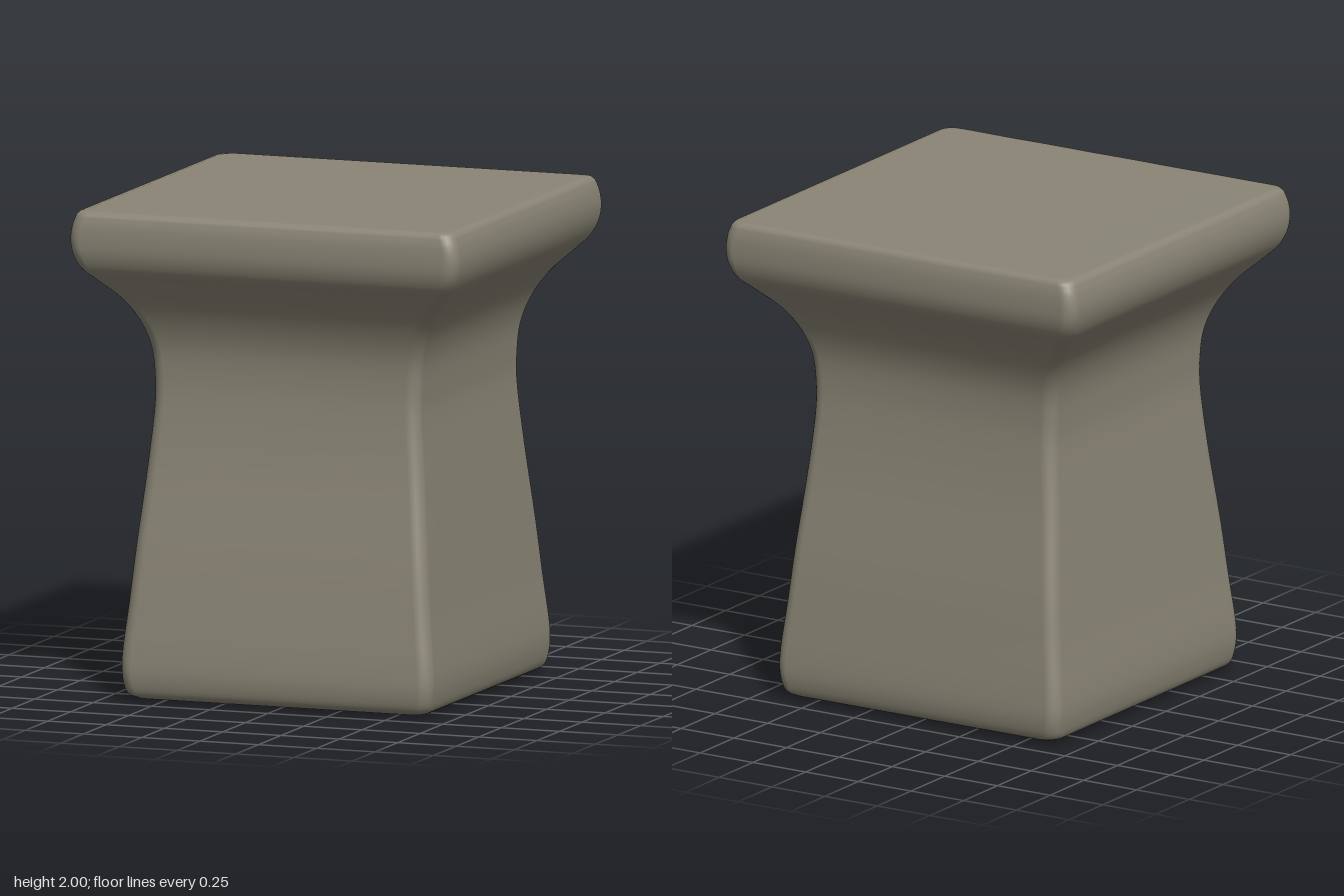
import * as THREE from 'three';

const stone = new THREE.MeshStandardMaterial({ color: 0x8a8575 });
stone.name = 'weathered stone';

// Profile from foot to top edge: [half width x, height, half depth z]
const profile = [
  [0.62, 0.01, 0.64], [0.65, 0.03, 0.67], [0.665, 0.09, 0.687], [0.668, 0.17, 0.688],
  [0.645, 0.4, 0.665], [0.625, 0.62, 0.64], [0.593, 0.95, 0.593], [0.571, 1.2, 0.571],
  [0.572, 1.3, 0.569], [0.582, 1.42, 0.58], [0.612, 1.52, 0.612], [0.67, 1.62, 0.668],
  [0.755, 1.71, 0.75], [0.8, 1.76, 0.798], [0.826, 1.82, 0.822], [0.834, 1.88, 0.828],
  [0.826, 1.94, 0.825], [0.812, 1.98, 0.816],
];

// Closed loop around a slightly bulging square with rounded corners
function ring(hx, y, hz, radius, out) {
  const steps = 6, sides = 4;
  for (let q = 0; q < 4; q++) {
    const a0 = q * Math.PI / 2;
    const sx = q === 0 || q === 3 ? 1 : -1, sz = q < 2 ? 1 : -1;
    for (let i = 0; i <= steps; i++) {
      const a = a0 + (i / steps) * Math.PI / 2;
      out.push([sx * (hx - radius) + Math.cos(a) * radius, y, sz * (hz - radius) + Math.sin(a) * radius]);
    }
    // Points along the flat side that follows this corner
    const last = out[out.length - 1];
    const alongX = q % 2 === 0;
    for (let i = 1; i < sides; i++) {
      const t = 1 - 2 * i / sides;
      out.push(alongX ? [last[0] * t, y, last[2]] : [last[0], y, last[2] * t]);
    }
  }
  return 4 * (steps + sides);
}

function pedestalGeometry() {
  const curve = new THREE.CatmullRomCurve3(profile.map(p => new THREE.Vector3(...p)), false, 'centripetal');
  const sections = curve.getPoints(68).map(p => [p.x, p.y, p.z]);
  // Flat underside and top, with a narrow rim to keep the edges soft
  sections.unshift([0, 0, 0], [0.56, 0, 0.58]);
  sections.push([0.8, 1.992, 0.806], [0.775, 1.996, 0.78], [0, 2, 0]);

  const points = [], index = [];
  let n = 0;
  for (const [hx, y, hz] of sections) {
    n = ring(hx, y, hz, Math.min(0.055, hx, hz), points);
  }
  for (let s = 0; s < sections.length - 1; s++) {
    for (let i = 0; i < n; i++) {
      const a = s * n + i, c = s * n + (i + 1) % n;
      index.push(a, a + n, c, c, a + n, c + n);
    }
  }
  const geometry = new THREE.BufferGeometry();
  geometry.setAttribute('position', new THREE.Float32BufferAttribute(points.flat(), 3));
  geometry.setIndex(index);
  geometry.computeVertexNormals();
  return geometry;
}

export function createModel() {
  const model = new THREE.Group();
  model.name = 'squarePedestal';
  const body = new THREE.Mesh(pedestalGeometry(), stone);
  body.name = 'pedestalBody';
  model.add(body);
  return model;
}
